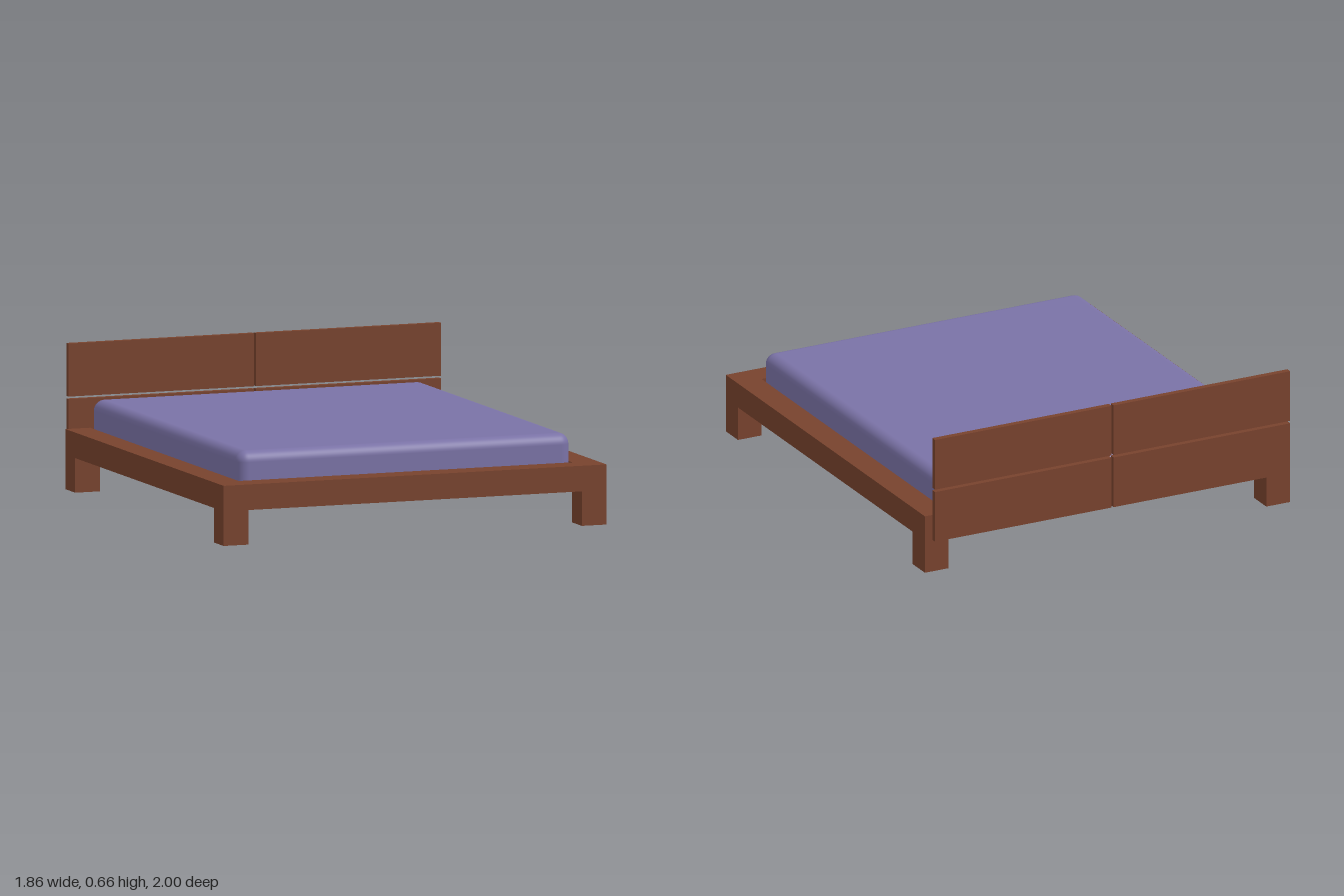
import * as THREE from 'three';
import { RoundedBoxGeometry } from 'three/addons/geometries/RoundedBoxGeometry.js';

export function createModel() {
  const model = new THREE.Group();
  model.name = 'bed';
  const wood = new THREE.MeshStandardMaterial({ color: 0x78422d });
  wood.name = 'reddish brown wood';
  const fabric = new THREE.MeshStandardMaterial({ color: 0x7a72a6 });
  fabric.name = 'lavender fabric';

  // Box given by its lower and upper bounds on each axis
  function board(name, [x0, x1], [y0, y1], [z0, z1]) {
    const mesh = new THREE.Mesh(new THREE.BoxGeometry(x1 - x0, y1 - y0, z1 - z0), wood);
    mesh.position.set((x0 + x1) / 2, (y0 + y1) / 2, (z0 + z1) / 2);
    mesh.name = name;
    model.add(mesh);
  }

  const outer = 0.932, inner = 0.812;   // half widths of the frame
  const legTop = 0.158, railTop = 0.275;
  const back = -0.948, front = 1, frontInner = 0.88;

  for (const side of [-1, 1]) {
    const label = side > 0 ? 'left' : 'right';
    const span = (a, b) => (side > 0 ? [a, b] : [-b, -a]);

    // Side rail and its two legs
    board(label + 'SideRail', span(inner, outer), [legTop, railTop], [back, frontInner]);
    board(label + 'FrontLeg', span(inner, outer), [0, legTop], [frontInner, front]);
    board(label + 'BackLeg', span(inner, outer), [0, legTop], [back, back + 0.12]);

    // Headboard panels with narrow gaps between them
    board(label + 'LowerHeadboardPanel', span(0.005, 0.907), [0.165, 0.407], [-1, -0.972]);
    board(label + 'UpperHeadboardPanel', span(0.005, 0.907), [0.419, 0.661], [-1, -0.972]);
  }

  // Foot rail across the full width
  board('footRail', [-outer, outer], [legTop, railTop], [frontInner, front]);

  // Mattress with soft edges, sunk between the rails
  const bottom = 0.18, top = 0.407;
  const mattress = new THREE.Mesh(
    new RoundedBoxGeometry(inner * 2 - 0.004, top - bottom, frontInner - back - 0.002, 5, 0.05), fabric);
  mattress.position.set(0, (bottom + top) / 2, (frontInner + back) / 2);
  mattress.name = 'mattress';
  model.add(mattress);

  return model;
}
